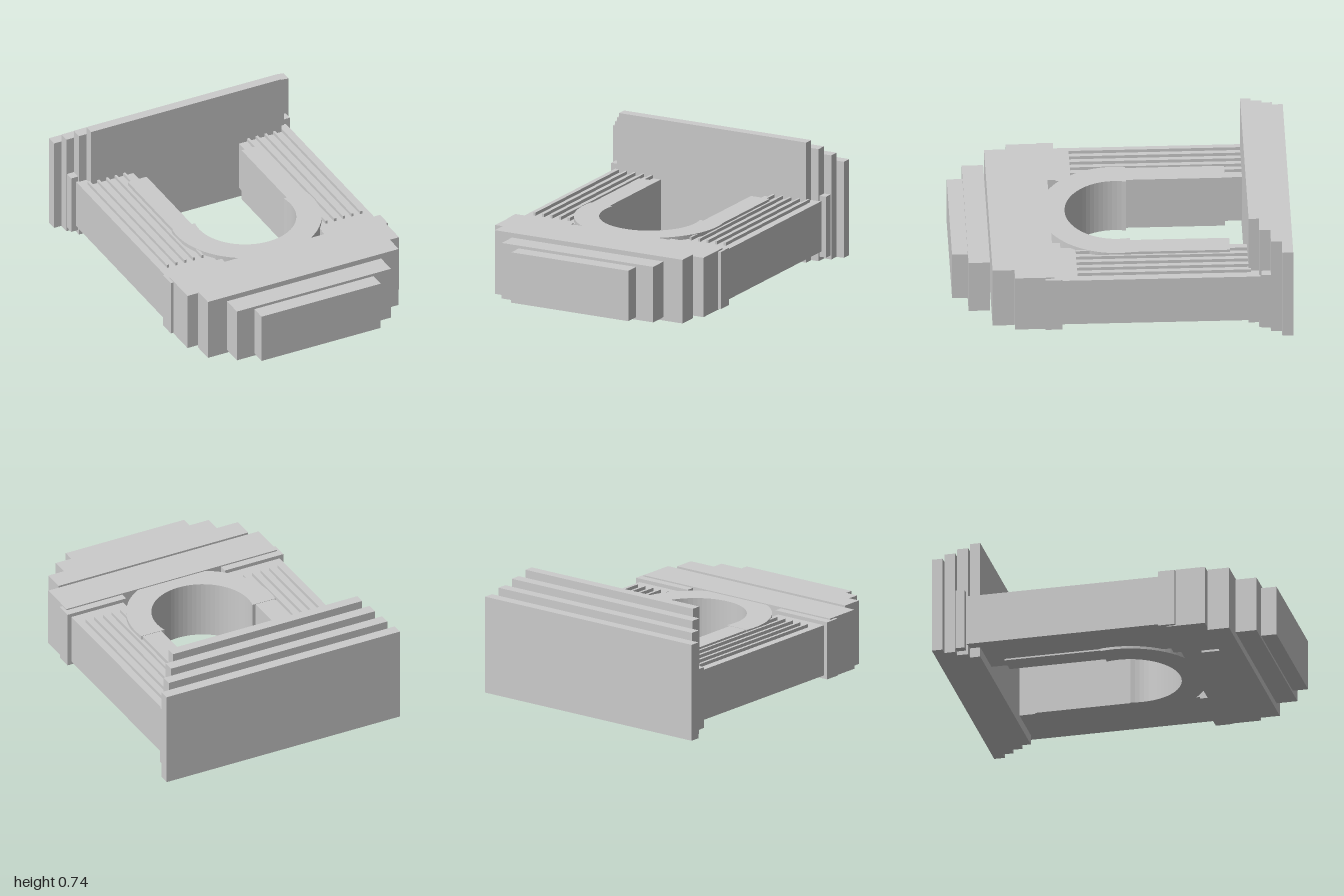
import * as THREE from 'three';

export function createModel() {
  const model = new THREE.Group();
  const material = new THREE.MeshStandardMaterial({ color: 0xcccccc, flatShading: true });

  const add = (name, geometry) => {
    const mesh = new THREE.Mesh(geometry, material);
    mesh.name = name;
    model.add(mesh);
    return mesh;
  };
  // Box given by its limits on each axis
  const box = (name, x0, x1, y0, y1, z0, z1) => {
    const mesh = add(name, new THREE.BoxGeometry(x1 - x0, y1 - y0, z1 - z0));
    mesh.position.set((x0 + x1) / 2, (y0 + y1) / 2, (z0 + z1) / 2);
  };
  const centred = (name, half, y0, y1, z0, z1) => box(name, -half, half, y0, y1, z0, z1);
  const mirrored = (name, x0, x1, ...rest) => {
    box(name + 'Left', x0, x1, ...rest);
    box(name + 'Right', -x1, -x0, ...rest);
  };

  // Stepped back wall: each plate is taller and narrower towards the front
  const wallZ = [-1, -0.935, -0.87, -0.803, -0.742];
  for (let i = 0; i < 4; i++) {
    centred('backPlate' + (i + 1), 0.778 - i * 0.049, 0, 0.592 + i * 0.049, wallZ[i], wallZ[i + 1]);
  }
  mirrored('backCollar', 0.35, 0.725, 0.025, 0.4, -0.875, -0.815);

  // Side rails with thin ribs on top
  mirrored('sideRail', 0.35, 0.695, 0.06, 0.37, -0.81, 0.45);
  for (let i = 0; i < 5; i++) {
    const x = 0.411 + i * 0.0575;
    mirrored('rib' + (i + 1), x - 0.007, x + 0.007, 0.36, 0.39, -0.755, 0.27);
  }

  // U-shaped liner: straight arms and a rounded end
  mirrored('linerArm', 0.315, 0.44, 0.05, 0.392, -0.64, -0.05);
  const cz = 0.017, outer = 0.452, inner = 0.303, drop = 0.072;
  const a = Math.asin(drop / outer), b = Math.asin(drop / inner);
  const u = new THREE.Shape();
  u.absarc(0, cz, outer, -a, Math.PI + a, false);
  u.absarc(0, cz, inner, Math.PI + b, -b, true);
  u.closePath();
  const ring = add('linerEnd', new THREE.ExtrudeGeometry(u, {
    depth: 0.35, bevelEnabled: false, curveSegments: 20,
  }));
  ring.rotation.x = Math.PI / 2;
  ring.position.y = 0.394;

  // Front end: collars, crossbar and nose steps
  mirrored('frontCollar', 0.33, 0.72, 0.04, 0.392, 0.36, 0.46);
  centred('crossbar', 0.702, 0.035, 0.4, 0.408, 0.64);
  centred('noseBlock', 0.633, 0.02, 0.412, 0.64, 0.77);
  centred('undersidePad', 0.33, 0.022, 0.1, 0.53, 0.66);
  centred('noseStep', 0.511, 0.045, 0.387, 0.78, 0.907);
  centred('noseTip', 0.395, 0.06, 0.37, 0.907, 1);

  return model;
}
